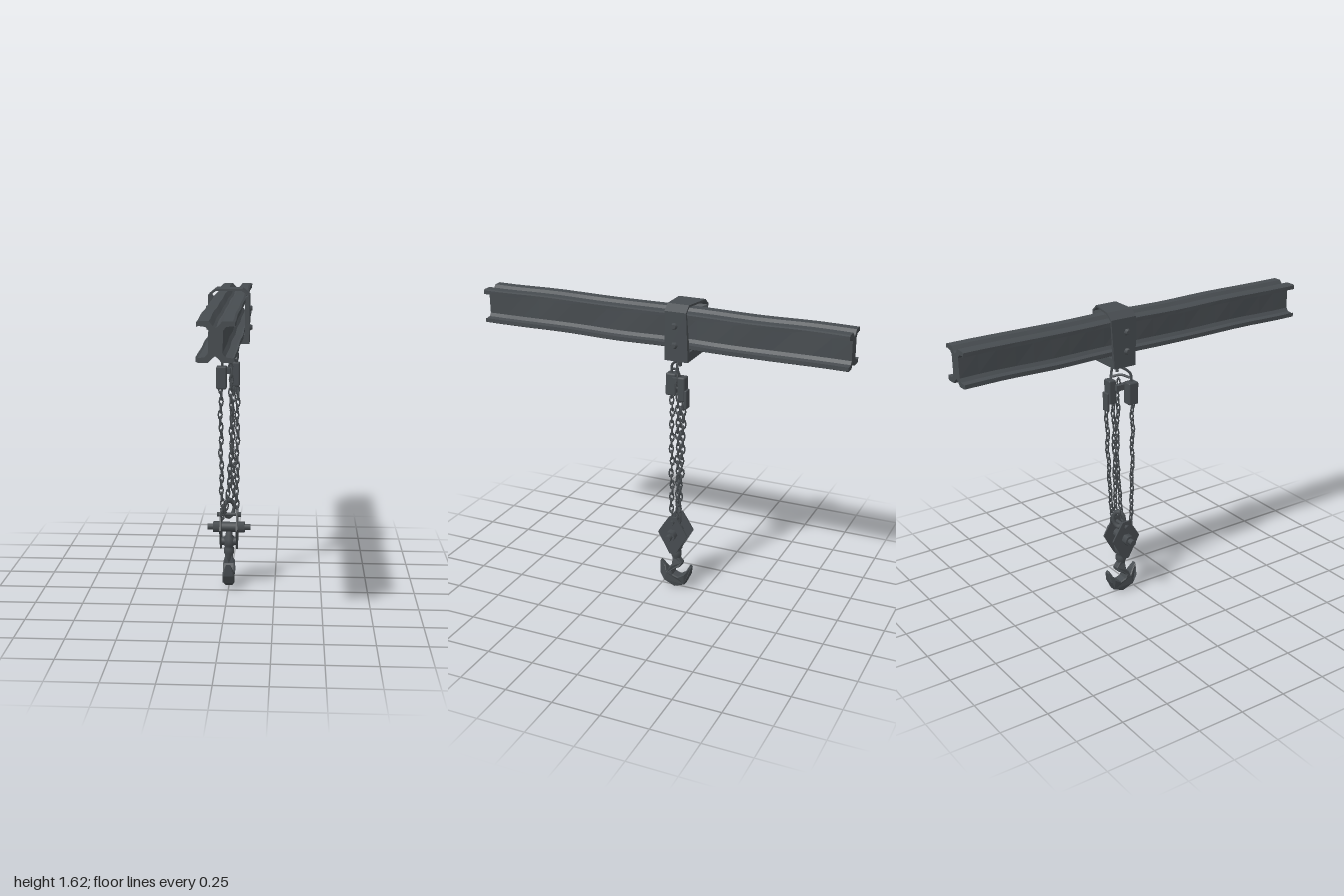
import * as THREE from 'three';
import { RoundedBoxGeometry } from 'three/addons/geometries/RoundedBoxGeometry.js';

const V = (x, y, z) => new THREE.Vector3(x, y, z);

export function createModel() {
  const model = new THREE.Group();
  const steel = new THREE.MeshStandardMaterial({ color: 0x474c50 });
  steel.name = 'dark steel';

  const add = (name, geometry, x = 0, y = 0, z = 0, parent = model) => {
    const mesh = new THREE.Mesh(geometry, steel);
    mesh.name = name;
    mesh.position.set(x, y, z);
    parent.add(mesh);
    return mesh;
  };
  const shapeOf = (points) => new THREE.Shape(points.map(([x, y]) => new THREE.Vector2(x, y)));
  const extrude = (shape, depth, extra = {}) =>
    new THREE.ExtrudeGeometry(shape, { depth, bevelEnabled: false, ...extra });
  const warp = (geometry, rule) => {
    const p = geometry.attributes.position;
    const v = new THREE.Vector3();
    for (let i = 0; i < p.count; i++) {
      v.fromBufferAttribute(p, i);
      rule(v);
      p.setXYZ(i, v.x, v.y, v.z);
    }
    geometry.computeVertexNormals();
    return geometry;
  };
  const rod = (name, points, radius, parent = model) =>
    add(name, new THREE.TubeGeometry(new THREE.CatmullRomCurve3(points), 14, radius, 6), 0, 0, 0, parent);
  const pin = (name, radius, length, x, y, z, sides = 10, endRadius = radius) => {
    const g = new THREE.CylinderGeometry(endRadius, radius, length, sides).rotateZ(-Math.PI / 2);
    return add(name, g, x, y, z);
  };

  // Overhead beam: two channels back to back, with grooves along the seams
  const quarter = [[0, 0.062], [0.012, 0.07], [0.03, 0.091], [0.075, 0.091], [0.085, 0.086],
    [0.085, 0.066], [0.075, 0.07], [0.045, 0.066], [0.032, 0.05]];
  const right = [...quarter, ...quarter.slice().reverse().map(([x, y]) => [x, -y])];
  const left = right.slice(1, -1).reverse().map(([x, y]) => [-x, y]);
  const beam = extrude(shapeOf([...right, ...left].reverse()), 1.99, { steps: 20 });
  warp(beam, (v) => {
    v.x += 0.002 * Math.sin(v.z * 13 + v.y * 20);
    v.y += 0.002 * Math.sin(v.z * 9);
  });
  add('beam', beam, 0, 1.493, -0.995);

  // Clamp wrapped round the beam, its rear edge uneven
  const collar = shapeOf([[-0.106, 1.343], [0.106, 1.343], [0.108, 1.598], [0.07, 1.629],
    [-0.07, 1.629], [-0.108, 1.598]]);
  collar.holes.push(shapeOf([[-0.083, 1.392], [-0.083, 1.58], [-0.1, 1.593], [-0.067, 1.619],
    [0.067, 1.619], [0.1, 1.593], [0.083, 1.58], [0.083, 1.392]]));
  const clamp = extrude(collar, 0.11);
  warp(clamp, (v) => {
    if (v.z > 0.05) return;
    if (v.y > 1.59) v.z -= v.x < 0 ? 0.035 : 0.005;
    else if (v.y < 1.4) v.z -= 0.015;
  });
  add('beamClamp', clamp, 0, 0, -0.17);
  for (const side of [-1, 1]) {
    for (const y of [1.425, 1.525]) {
      pin('clampBolt', 0.02, 0.016, side * 0.113, y, -0.112, 6, 0.012).rotation.y = side < 0 ? Math.PI : 0;
    }
  }

  // Bail hanging from the clamp
  rod('hangerEye', [V(0, 1.35, -0.1), V(0.004, 1.32, -0.1), V(0, 1.285, -0.1)], 0.009);
  rod('bailFront', [V(0.012, 1.31, -0.1), V(-0.012, 1.3, -0.07), V(-0.03, 1.27, -0.04), V(-0.035, 1.22, -0.038)], 0.007);
  rod('bailRear', [V(0.005, 1.325, -0.1), V(0.035, 1.31, -0.1), V(0.045, 1.275, -0.105), V(0.03, 1.22, -0.122)], 0.007);
  rod('bailTie', [V(-0.034, 1.25, -0.045), V(0, 1.262, -0.075), V(0.034, 1.25, -0.11)], 0.007);

  // Two upper hoist housings
  add('frontHousing', new RoundedBoxGeometry(0.055, 0.12, 0.058, 1, 0.008), -0.037, 1.17, -0.04);
  add('rearHousing', new RoundedBoxGeometry(0.055, 0.13, 0.042, 1, 0.008), 0.028, 1.175, -0.126);
  add('rearHousingCover', new RoundedBoxGeometry(0.045, 0.1, 0.016, 1, 0.004), 0.03, 1.122, -0.149);
  add('housingBridge', new THREE.BoxGeometry(0.03, 0.03, 0.06), -0.006, 1.2, -0.085);

  // Chains: flattened links, each turned a quarter from the last
  const link = new THREE.TorusGeometry(0.0105, 0.0042, 5, 8).scale(1, 2.1, 1);
  const chain = (name, points) => {
    const group = new THREE.Group();
    group.name = name;
    model.add(group);
    const curve = new THREE.CatmullRomCurve3(points);
    const count = Math.round(curve.getLength() / 0.035);
    for (let i = 0; i <= count; i++) {
      const at = curve.getPointAt(i / count);
      const mesh = add('chainLink', link, at.x + 0.003 * Math.sin(i * 1.1), at.y, at.z + 0.003 * Math.cos(i * 1.4), group);
      mesh.quaternion.setFromUnitVectors(V(0, 1, 0), curve.getTangentAt(i / count).negate());
      mesh.rotateY((i % 2) * Math.PI / 2 + 0.35);
    }
  };
  chain('frontChain', [V(-0.042, 1.11, -0.036), V(-0.04, 0.8, -0.036), V(-0.034, 0.42, -0.04)]);
  chain('middleChain', [V(0.008, 1.22, -0.09), V(0.012, 0.8, -0.094), V(-0.012, 0.46, -0.085)]);
  chain('innerChain', [V(0.02, 1.12, -0.112), V(0.018, 0.8, -0.108), V(0.025, 0.46, -0.1)]);
  chain('rearChain', [V(0.042, 1.09, -0.14), V(0.042, 0.8, -0.132), V(0.04, 0.43, -0.112)]);

  // Lower block: shackle, diamond cheek plates, axles
  const cz = -0.08;
  const shackle = new THREE.TorusGeometry(0.032, 0.011, 6, 12).scale(1, 1.4, 1);
  add('shackle', shackle, 0, 0.445, cz - 0.015).rotation.y = 0.6;
  const cheek = extrude(shapeOf([[-0.016, 0.225], [0.016, 0.225], [0.05, 0.285], [0.084, 0.345],
    [0.05, 0.4], [0.02, 0.445], [-0.02, 0.445], [-0.05, 0.4], [-0.084, 0.345], [-0.05, 0.285]]), 0.009);
  cheek.translate(0, 0, -0.0045).rotateY(Math.PI / 2);
  for (const side of [-1, 1]) {
    add('cheekPlate', cheek, side * 0.044, 0, cz);
    pin('axleNut', 0.03, 0.037, side * 0.067, 0.345, cz, 6);
    pin('axleEnd', 0.017, 0.032, side * 0.1, 0.345, cz, 8);
    pin('upperPinHead', 0.013, 0.018, side * 0.056, 0.415, cz, 6);
  }
  pin('mainAxle', 0.027, 0.09, 0, 0.345, cz);
  pin('upperPin', 0.01, 0.1, 0, 0.415, cz, 8);

  // Swivel above the hook
  pin('swivelCrosshead', 0.022, 0.08, 0, 0.265, cz);
  const swivel = [[0, 0.14], [0.018, 0.14], [0.02, 0.18], [0.028, 0.2], [0.028, 0.225], [0.02, 0.235],
    [0.034, 0.245], [0.034, 0.28], [0.02, 0.295], [0.016, 0.34], [0, 0.34]];
  add('swivel', new THREE.LatheGeometry(swivel.map(([r, y]) => new THREE.Vector2(r, y)), 10), 0, 0, cz - 0.004);

  // Hook with a spur at its back, thinned at the bottom and tips
  const hookOutline = [[-0.07, 0.195], [-0.066, 0.143], [-0.05, 0.126], [-0.038, 0.1], [-0.022, 0.128],
    [0.005, 0.155], [0.002, 0.09], [-0.022, 0.045], [-0.08, 0.012], [-0.14, 0.035], [-0.165, 0.09],
    [-0.176, 0.142], [-0.166, 0.152], [-0.138, 0.1], [-0.102, 0.077], [-0.072, 0.088], [-0.066, 0.108],
    [-0.088, 0.126], [-0.116, 0.142], [-0.122, 0.163], [-0.097, 0.195]];
  const hook = extrude(shapeOf(hookOutline.map(([z, y]) => [-z, y])), 0.05,
    { bevelEnabled: true, bevelThickness: 0.007, bevelSize: 0.004, bevelOffset: -0.004, bevelSegments: 1 });
  hook.translate(0, 0, -0.025).rotateY(Math.PI / 2);
  warp(hook, (v) => {
    if (v.y < 0.04) v.x *= 0.65;
    if (v.y > 0.16) v.x *= 0.6;
    if (v.y > 0.12 && (v.z > -0.03 || v.z < -0.155)) v.x *= 0.45;
  });
  add('hook', hook);

  return model;
}
